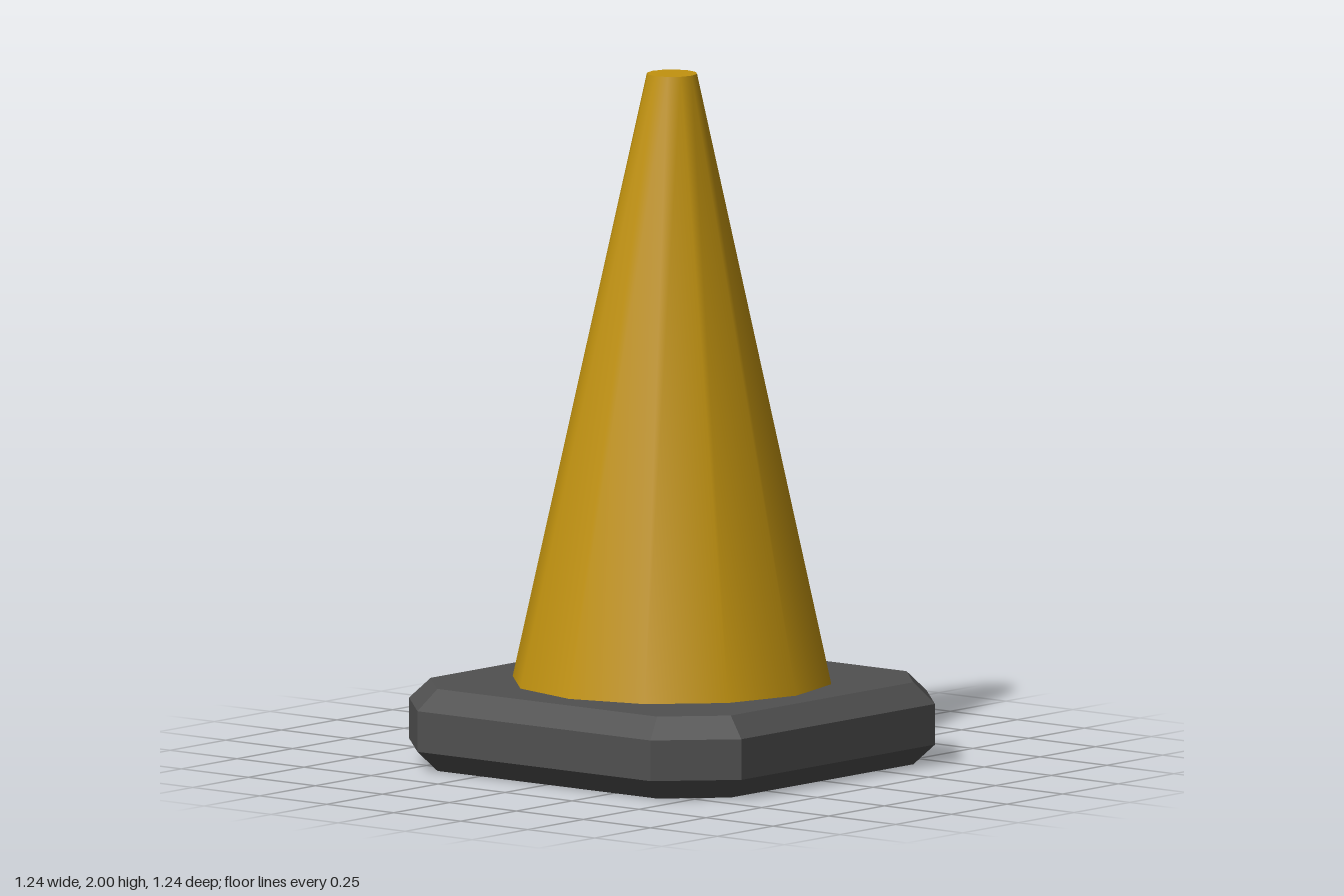
import * as THREE from 'three';

export function createModel() {
  const group = new THREE.Group();

  // Square foot with cut corners and chamfered top and bottom edges
  const half = 0.56, cut = 0.41, bevel = 0.06;
  const outline = new THREE.Shape([
    [half, -cut], [half, cut], [cut, half], [-cut, half],
    [-half, cut], [-half, -cut], [-cut, -half], [cut, -half],
  ].map(([x, y]) => new THREE.Vector2(x, y)));
  const baseGeometry = new THREE.ExtrudeGeometry(outline, {
    depth: 0.118, bevelEnabled: true, bevelSize: bevel, bevelThickness: bevel, bevelSegments: 1,
  });
  baseGeometry.rotateX(-Math.PI / 2).translate(0, bevel, 0);
  const base = new THREE.Mesh(
    baseGeometry,
    new THREE.MeshStandardMaterial({ color: 0x505050, flatShading: true }),
  );
  base.name = 'base';
  group.add(base);

  // Twelve-sided tapering cone with a flat tip, smooth around its side
  const bottom = 0.238, top = 2;
  const cone = new THREE.Mesh(
    new THREE.CylinderGeometry(0.073, 0.464, top - bottom, 12),
    new THREE.MeshStandardMaterial({ color: 0xc2930f }),
  );
  cone.position.y = (top + bottom) / 2;
  cone.name = 'cone';
  group.add(cone);

  return group;
}
